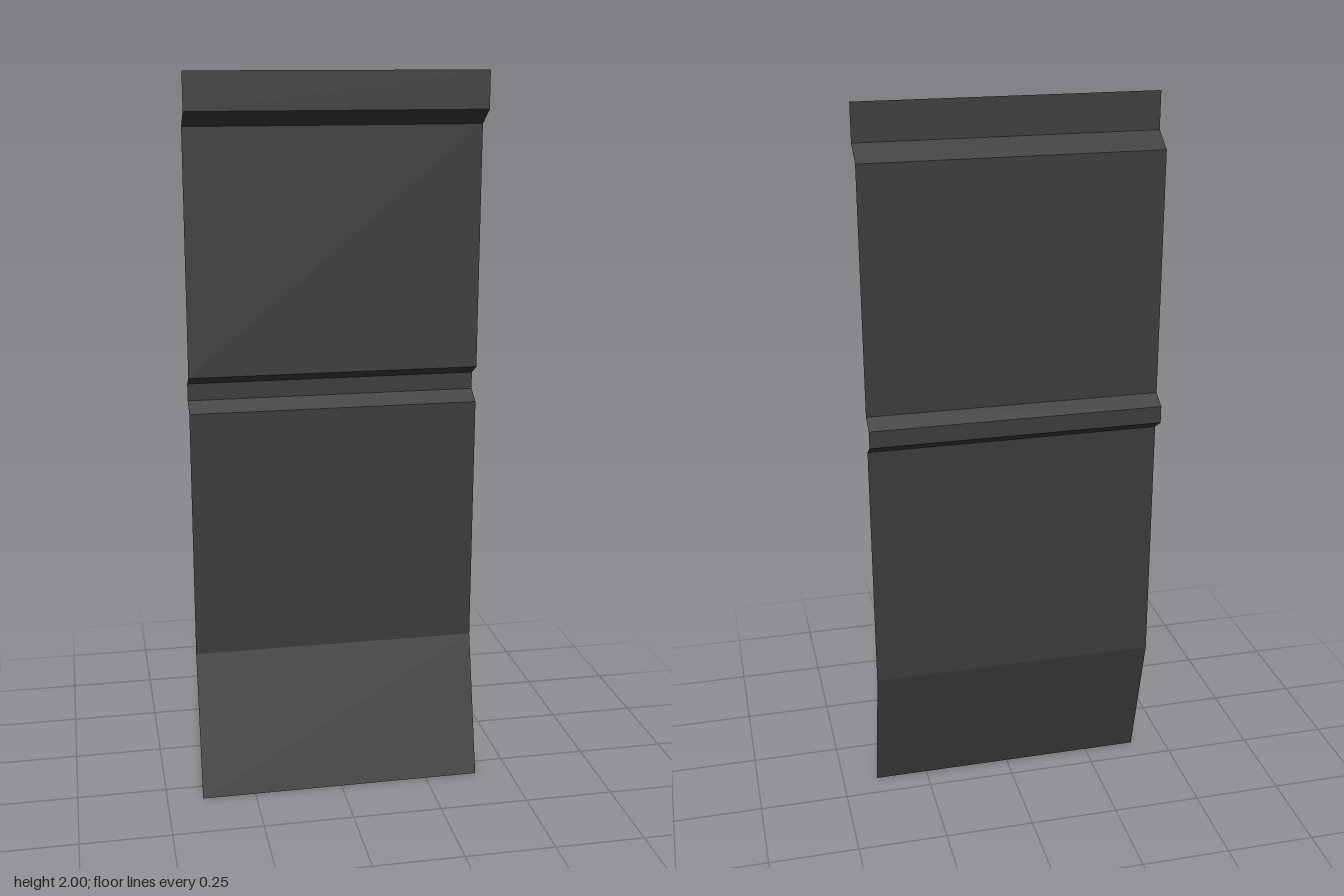
import * as THREE from 'three';

const WIDTH = 0.8;

// One flat strip of folded sheet between an upper and a lower [y, z] fold line.
function strip(name, [yTop, zTop], [yLow, zLow], material) {
  const geometry = new THREE.PlaneGeometry(WIDTH, 1);
  const p = geometry.attributes.position;
  for (let i = 0; i < p.count; i++) {
    const upper = p.getY(i) > 0;
    p.setY(i, upper ? yTop : yLow);
    p.setZ(i, upper ? zTop : zLow);
  }
  geometry.computeVertexNormals();
  const mesh = new THREE.Mesh(geometry, material);
  mesh.name = name;
  return mesh;
}

export function createModel() {
  const group = new THREE.Group();
  group.name = 'foldedPanel';

  const sheet = new THREE.MeshStandardMaterial({ color: 0x3a3a3a, side: THREE.DoubleSide });
  sheet.name = 'dark grey sheet';

  // Fold lines [y, z] from top to bottom; each strip runs down to the next fold.
  const folds = [
    [2, 0.03], [1.9, 0.03], [1.86, -0.03], [1.2, -0.03], [1.175, -0.073],
    [1.128, -0.073], [1.1, -0.03], [0.4, -0.03], [0, 0.071],
  ];
  const names = [
    'topLip', 'topStep', 'upperPanel', 'grooveUpperSlope',
    'grooveFloor', 'grooveLowerSlope', 'lowerPanel', 'bottomFlare',
  ];
  names.forEach((name, i) => group.add(strip(name, folds[i], folds[i + 1], sheet)));

  return group;
}
